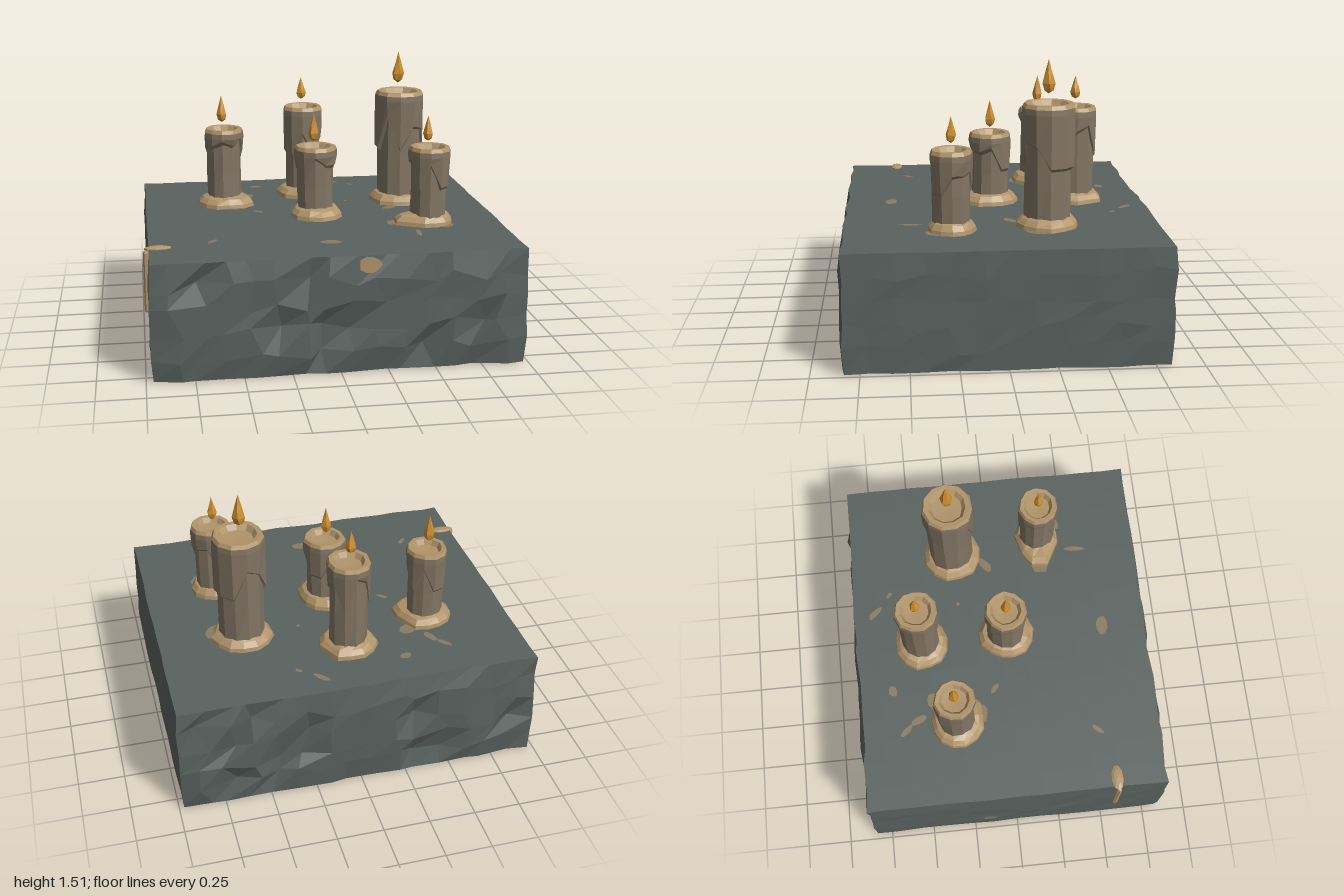
import * as THREE from 'three';

const material = (name, color) => {
  const m = new THREE.MeshStandardMaterial({ color });
  m.name = name;
  return m;
};
const stone = material('stone', 0x59625f);
const wax = material('wax', 0x827563);
const paleWax = material('pale wax', 0xb0946a);
const stain = material('wax stain', 0x8a7a60);
const flameMat = material('flame', 0xcd8f2e);

// repeatable noise in 0..1
const hash = (a, b = 0, c = 0) => {
  const s = Math.sin(a * 127.1 + b * 311.7 + c * 74.7 + 3.1) * 43758.5453;
  return s - Math.floor(s);
};

const flat = (geo) => {
  const g = geo.index ? geo.toNonIndexed() : geo;
  g.computeVertexNormals();
  return g;
};

const mesh = (name, geo, mat) => {
  const m = new THREE.Mesh(geo, mat);
  m.name = name;
  return m;
};

// faceted skin through rings; point(i, angle, j) gives [x, y, z], rings run from the bottom up
function loft(ringCount, sides, point) {
  const pos = [];
  const at = (i, j) => point(i, ((j % sides) / sides) * Math.PI * 2, j % sides);
  for (let i = 0; i < ringCount - 1; i++) {
    for (let j = 0; j < sides; j++) {
      const a = at(i, j), b = at(i, j + 1), c = at(i + 1, j), d = at(i + 1, j + 1);
      pos.push(...a, ...c, ...b, ...b, ...c, ...d);
    }
  }
  const g = new THREE.BufferGeometry();
  g.setAttribute('position', new THREE.Float32BufferAttribute(pos, 3));
  return flat(g);
}

const TOP = 0.63;

// block with level top and bottom and chipped sides, roughest at front and back
function stoneBlock() {
  const hx = 0.975, hy = TOP / 2, hz = 0.85;
  const g = new THREE.BoxGeometry(hx * 2, TOP, hz * 2, 15, 5, 12);
  const p = g.attributes.position;
  for (let i = 0; i < p.count; i++) {
    const x = p.getX(i), y = p.getY(i), z = p.getZ(i);
    const kx = Math.round(x * 100), ky = Math.round(y * 100), kz = Math.round(z * 100);
    const n = hash(kx, ky, kz), m = hash(kz, kx, ky), q = hash(ky, kz, kx);
    const onX = Math.abs(x) > hx - 0.001, onY = Math.abs(y) > hy - 0.001, onZ = Math.abs(z) > hz - 0.001;
    let nx = x, ny = y, nz = z;
    if (onZ) {
      const inset = onY || onX ? 0.008 + n * 0.02 : n < 0.2 ? 0.04 : n * 0.02 - 0.015;
      nz -= Math.sign(z) * inset;
      if (!onX) nx += (m - 0.5) * 0.09;
    }
    if (onX) {
      nx -= Math.sign(x) * (onY ? n * 0.008 : n * 0.012 - 0.008);
      if (!onZ) nz += (m - 0.5) * 0.06;
    }
    if (!onY) ny += (q - 0.5) * 0.07;
    else if (y < 0 && (onX || onZ)) ny += q * 0.008;
    p.setXYZ(i, nx + 0.005, ny + hy, nz);
  }
  return mesh('stoneBlock', flat(g), stone);
}

// r: body radius, top: rim height, lobe: [angle, length] of the spill at the foot
function candle({ x, z, top, r, foot, flame, lobe }, k) {
  const g = new THREE.Group();
  g.name = 'candle' + (k + 1);
  g.position.set(x, 0, z);
  const sides = 11;
  const polar = (a, rad, y) => [Math.cos(a) * rad, y, Math.sin(a) * rad];

  // shaft, slightly uneven
  const shaftY = [TOP, TOP + (top - TOP) * 0.45, top - 0.03];
  g.add(mesh('shaft', loft(3, sides, (i, a, j) =>
    polar(a, r * (0.95 + 0.09 * hash(i, j, k)), shaftY[i])), wax));

  // melted collar running down in uneven drips
  const drop = (j) => {
    const h = hash(j, k, 7);
    return (h > 0.7 ? 0.5 : 0.1 + h * 0.35) * (top - TOP);
  };
  const rim = (j) => r * (1.1 + 0.1 * hash(j, k, 2));
  g.add(mesh('collar', loft(4, sides, (i, a, j) => {
    if (i === 0) return polar(a, r * 0.88, top - drop(j) - 0.03);
    if (i === 1) return polar(a, r * (1.06 + 0.1 * hash(j, k, 4)), top - drop(j));
    if (i === 2) return polar(a, rim(j), top - 0.05);
    return polar(a, rim(j) * 0.98, top - 0.02);
  }), wax));

  // bevelled rim and hollow melt pool
  const capR = [0.98, 0.9, 0.72, 0.58, 0.001], capY = [-0.02, 0, -0.002, -0.03, -0.035];
  g.add(mesh('meltPool', loft(5, sides, (i, a, j) =>
    polar(a, rim(j) * capR[i], top + capY[i])), paleWax));

  // puddle of wax at the foot
  const footR = [1, 0.97, 0.82, 0.5], footY = [0, 0.022, 0.042, 0.06];
  g.add(mesh('waxPuddle', loft(4, 13, (i, a, j) => {
    const away = Math.max(0, Math.cos(a - lobe[0])) ** 6 * lobe[1];
    const rad = foot * (0.9 + 0.14 * hash(j, k, 11)) + away;
    return polar(a, i < 3 ? rad * footR[i] : r * 0.9, TOP + footY[i] + (i === 2 ? 0.012 * hash(j, k, 5) : 0));
  }), paleWax));

  // faceted flame hovering over the pool
  const [y0, y1, fr] = flame;
  const fR = [0.003, 0.75, 1, 0.5, 0.003], fY = [0, 0.1, 0.3, 0.65, 1];
  g.add(mesh('flame', loft(5, 5, (i, a) => {
    const p = polar(a + k + i * 0.25, fr * fR[i], y0 + (y1 - y0) * fY[i]);
    p[0] -= 0.01;
    return p;
  }), flameMat));
  return g;
}

const CANDLES = [
  { x: -0.505, z: -0.3, top: 1.08, r: 0.1, foot: 0.155, flame: [1.115, 1.27, 0.03], lobe: [0.5, 0.03] },
  { x: -0.02, z: -0.46, top: 1.17, r: 0.105, foot: 0.16, flame: [1.21, 1.34, 0.03], lobe: [4, 0.01] },
  { x: 0.52, z: -0.24, top: 1.285, r: 0.125, foot: 0.175, flame: [1.33, 1.51, 0.036], lobe: [0.2, 0.01] },
  { x: -0.015, z: 0.025, top: 1.03, r: 0.104, foot: 0.155, flame: [1.055, 1.21, 0.03], lobe: [1.6, 0.025] },
  { x: 0.58, z: 0.27, top: 1.06, r: 0.1, foot: 0.132, flame: [1.09, 1.23, 0.028], lobe: [3.1, 0.075] },
];

// thin irregular spot facing +z, with half sizes w and h
function spotGeometry(w, h, seed) {
  const g = new THREE.CircleGeometry(1, 10);
  const p = g.attributes.position;
  for (let i = 1; i < p.count; i++) {
    const s = 0.85 + 0.25 * hash(i % 10, seed);
    p.setXY(i, p.getX(i) * s * w, p.getY(i) * s * h);
  }
  return flat(g);
}

// spots on top: x, z, half length, half width, turn
const SPOTS = [
  [-0.53, -0.585, 0.05, 0.017, -0.8], [-0.475, -0.51, 0.05, 0.022, -1.2],
  [-0.29, -0.645, 0.035, 0.025, 0.2], [0.19, -0.715, 0.055, 0.018, -0.8],
  [0.295, -0.625, 0.02, 0.012, -0.7], [0.2, -0.23, 0.012, 0.01, 0],
  [-0.335, -0.07, 0.035, 0.015, -0.7], [0.43, -0.05, 0.055, 0.025, 0.6],
  [0.48, 0.485, 0.065, 0.014, 1.5], [-0.015, 0.585, 0.06, 0.032, 0],
  [-0.63, 0.485, 0.04, 0.015, 0.9], [0.66, -0.17, 0.07, 0.05, 0.8],
  [0.42, 0.27, 0.08, 0.055, 0], [-0.47, -0.16, 0.06, 0.04, 0],
  [-0.38, -0.41, 0.06, 0.04, 0.7], [0.66, 0.36, 0.06, 0.04, 0.8],
];

export function createModel() {
  const model = new THREE.Group();
  model.name = 'candlesOnStone';
  model.add(stoneBlock());
  CANDLES.forEach((c, k) => model.add(candle(c, k)));

  SPOTS.forEach(([x, z, w, h, turn], i) => {
    const s = mesh('waxSpot', spotGeometry(w, h, i), stain);
    s.rotation.set(-Math.PI / 2, 0, turn);
    s.position.set(x, TOP + 0.003 + i * 0.0001, z);
    model.add(s);
  });

  // spill over the front edge
  const front = mesh('frontSpill', spotGeometry(0.06, 0.045, 21), paleWax);
  front.position.set(0.14, 0.59, 0.862);
  model.add(front);

  // spill over the side edge with a run down the face
  const edge = mesh('edgeSpill', new THREE.SphereGeometry(1, 9, 5), paleWax);
  edge.geometry = flat(edge.geometry);
  edge.scale.set(0.075, 0.014, 0.035);
  edge.position.set(-0.915, TOP, 0.555);
  model.add(edge);
  const run = mesh('sideRun', flat(new THREE.CapsuleGeometry(0.016, 0.31, 2, 6)), paleWax);
  run.position.set(-0.977, 0.455, 0.56);
  model.add(run);
  const sideSpot = mesh('sideSpot', spotGeometry(0.04, 0.035, 30), stain);
  sideSpot.rotation.y = -Math.PI / 2;
  sideSpot.position.set(-0.981, 0.2, -0.16);
  model.add(sideSpot);
  return model;
}
